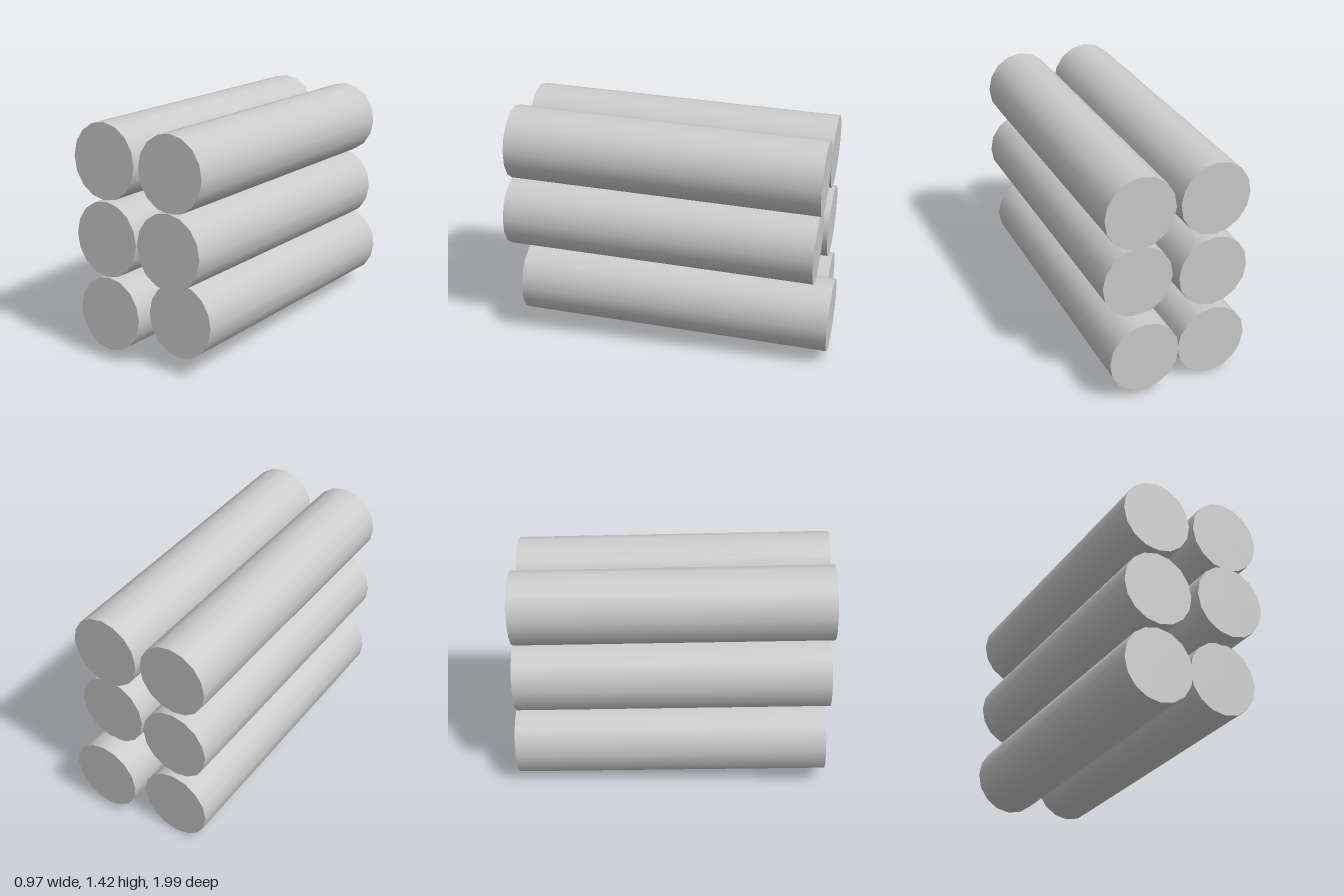
import * as THREE from 'three';

// Unit log along z, scaled to a slightly oval section
const LENGTH = 1.874;
const AXIS = new THREE.Vector3(0.097, 0.064, 1.87).normalize();

function makeLogGeometry() {
  const geometry = new THREE.CylinderGeometry(1, 1, 1, 16);
  geometry.rotateX(Math.PI / 2);
  geometry.scale(0.212, 0.221, LENGTH);
  return geometry;
}

// Centre of each log's front end: x, y, z
const logs = [
  ['bottomRightLog', -0.18, 0.29, 0.973],
  ['middleRightLog', -0.18, 0.745, 0.98],
  ['topRightLog', -0.18, 1.2, 0.98],
  ['bottomLeftLog', 0.267, 0.333, 0.885],
  ['middleLeftLog', 0.273, 0.767, 0.982],
  ['topLeftLog', 0.272, 1.201, 0.955],
];

export function createModel() {
  const model = new THREE.Group();
  model.name = 'logStack';
  const geometry = makeLogGeometry();
  const material = new THREE.MeshStandardMaterial({ color: 0xcccccc });

  // Two columns of three parallel logs, all with the same slight tilt
  for (const [name, x, y, z] of logs) {
    const log = new THREE.Mesh(geometry, material);
    log.name = name;
    log.position.set(x, y, z).addScaledVector(AXIS, -LENGTH / 2);
    log.rotation.set(-Math.asin(AXIS.y), Math.atan2(AXIS.x, AXIS.z), 0, 'YXZ');
    model.add(log);
  }
  return model;
}
